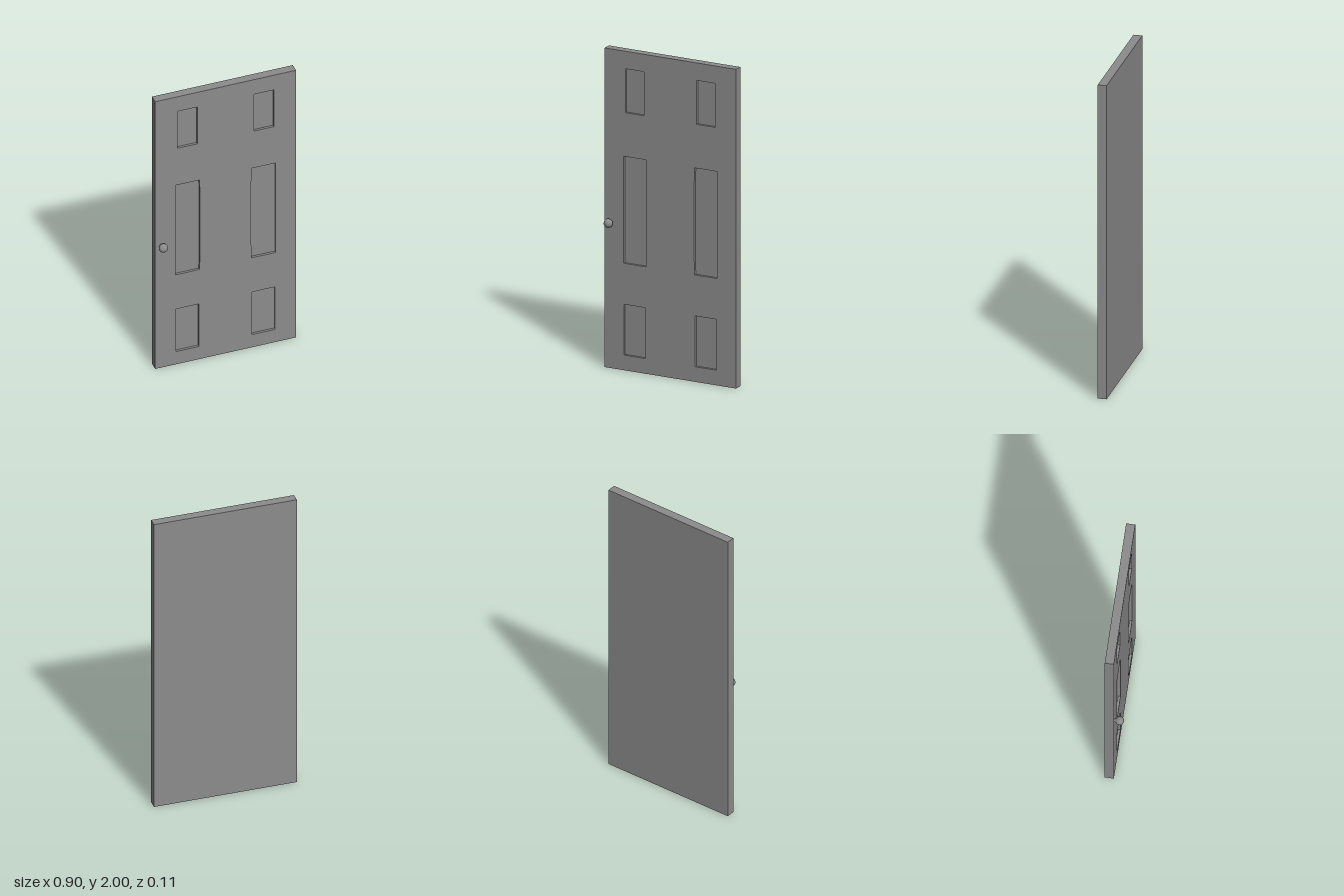
import * as THREE from 'three';

const WIDTH = 0.9, HEIGHT = 2, THICKNESS = 0.055, RECESS = 0.015;

// Recessed panels: outer x, inner x, bottom y, top y, bow of the inner edge
const PANELS = [
  [0.308, 0.181, 1.615, 1.89, 0],
  [0.32, 0.167, 0.67, 1.34, 0.004],
  [0.317, 0.17, 0.095, 0.413, 0],
];

function panelHole(side, [outer, inner, bottom, top, bow]) {
  const hole = new THREE.Path();
  hole.moveTo(side * outer, bottom);
  hole.lineTo(side * inner, bottom);
  if (bow) {
    const inset = (top - bottom) * 0.18;
    hole.lineTo(side * (inner - bow), bottom + inset);
    hole.lineTo(side * (inner - bow), top - inset);
  }
  hole.lineTo(side * inner, top);
  hole.lineTo(side * outer, top);
  hole.closePath();
  return hole;
}

export function createModel() {
  const door = new THREE.Group();
  door.name = 'door';
  const grey = new THREE.MeshStandardMaterial({ color: 0x8c8c8c });
  grey.name = 'grey';

  const add = (name, geometry, x, y, z) => {
    const mesh = new THREE.Mesh(geometry, grey);
    mesh.name = name;
    mesh.position.set(x, y, z);
    door.add(mesh);
    return mesh;
  };

  // Solid back of the door, also the floor of the recesses
  const backDepth = THICKNESS - RECESS;
  add('backSlab', new THREE.BoxGeometry(WIDTH, HEIGHT, backDepth), 0, HEIGHT / 2, -RECESS - backDepth / 2);

  // Front layer with six panel openings
  const face = new THREE.Shape();
  face.moveTo(-WIDTH / 2, 0);
  face.lineTo(WIDTH / 2, 0);
  face.lineTo(WIDTH / 2, HEIGHT);
  face.lineTo(-WIDTH / 2, HEIGHT);
  face.closePath();
  for (const panel of PANELS) {
    for (const side of [-1, 1]) face.holes.push(panelHole(side, panel));
  }
  add('panelledFace', new THREE.ExtrudeGeometry(face, { depth: RECESS, bevelEnabled: false }), 0, 0, -RECESS);

  // Round knob on a short neck, turned about the z axis
  const profile = [
    [0.012, 0], [0.012, 0.007], [0.019, 0.011], [0.025, 0.018], [0.028, 0.027],
    [0.027, 0.036], [0.023, 0.045], [0.016, 0.051], [0.008, 0.054], [0, 0.055],
  ].map(([r, z]) => new THREE.Vector2(r, z));
  add('knob', new THREE.LatheGeometry(profile, 24).rotateX(Math.PI / 2), -0.409, 0.915, 0);

  return door;
}
